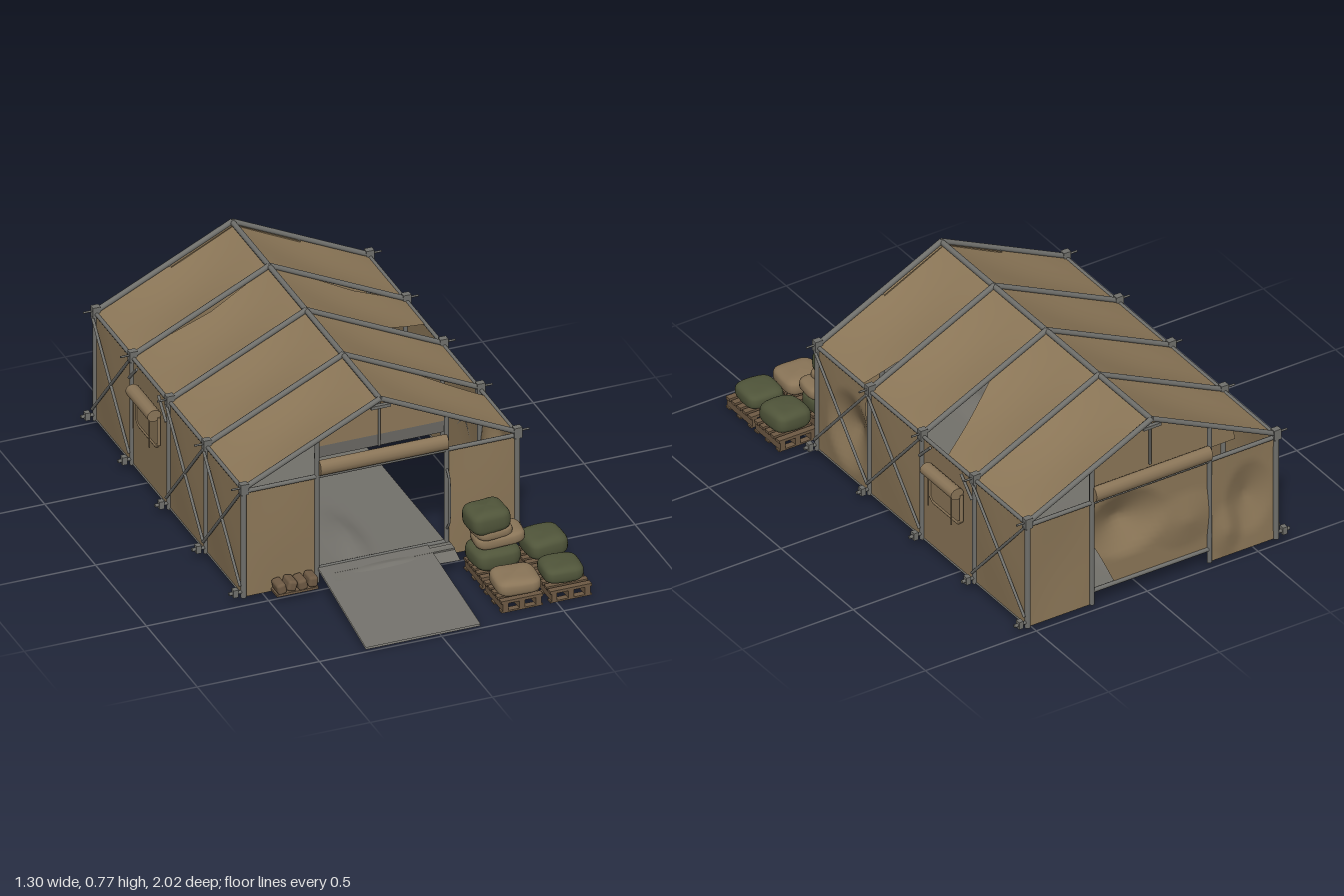
import * as THREE from 'three';
import { RoundedBoxGeometry } from 'three/addons/geometries/RoundedBoxGeometry.js';

const mat = (name, color, side = THREE.FrontSide) => {
  const m = new THREE.MeshStandardMaterial({ color, side });
  m.name = name;
  return m;
};
const V = (x, y, z) => new THREE.Vector3(x, y, z);

export function createModel() {
  const canvas = mat('canvas', 0x8c7758, THREE.DoubleSide);
  const metal = mat('metal', 0x70706c);
  const floorGrey = mat('floorGrey', 0x73716b, THREE.DoubleSide);
  const green = mat('greenSack', 0x50553a);
  const tan = mat('tanSack', 0x8a7558);
  const wood = mat('wood', 0x6e5a44);

  const root = new THREE.Group();
  root.name = 'frameTent';
  const add = (name, geo, m, parent = root) => {
    const mesh = new THREE.Mesh(geo, m);
    mesh.name = name;
    parent.add(mesh);
    return mesh;
  };
  const box = (name, x0, x1, y0, y1, z0, z1, m, parent) => {
    const mesh = add(name, new THREE.BoxGeometry(x1 - x0, y1 - y0, z1 - z0), m, parent);
    mesh.position.set((x0 + x1) / 2, (y0 + y1) / 2, (z0 + z1) / 2);
    return mesh;
  };
  // Straight tube between two points
  const rod = (name, a, b, r = 0.011, m = metal, sides = 8) => {
    const d = b.clone().sub(a);
    const mesh = add(name, new THREE.CylinderGeometry(r, r, d.length(), sides), m);
    mesh.position.copy(a).addScaledVector(d, 0.5);
    mesh.quaternion.setFromUnitVectors(V(0, 1, 0), d.normalize());
    return mesh;
  };
  // Cloth panel: a-b is the edge v=0, d-c the edge v=1; it may bulge, be dented or have cut sides
  const panel = (name, a, b, c, d, { bulge = 0, dents = [], start = () => 0, end = () => 1, m = canvas } = {}) => {
    const n = b.clone().sub(a).cross(d.clone().sub(a)).normalize();
    const N = 20;
    const geo = new THREE.PlaneGeometry(1, 1, N, N);
    const pos = geo.attributes.position;
    for (let i = 0; i < pos.count; i++) {
      const v = pos.getY(i) + 0.5;
      const s = start(v);
      const u = s + (end(v) - s) * (pos.getX(i) + 0.5);
      let off = bulge * Math.sin(Math.PI * u) * Math.sin(Math.PI * v);
      for (const [du, dv, r, depth] of dents) off += depth * Math.max(0, 1 - Math.hypot(u - du, v - dv) / r);
      const p = a.clone().lerp(b, u).lerp(d.clone().lerp(c, u), v).addScaledVector(n, off);
      pos.setXYZ(i, p.x, p.y, p.z);
    }
    geo.computeVertexNormals();
    return add(name, geo, m);
  };

  // Main dimensions
  const L = -0.59, R = 0.53, MID = -0.03, EAVE = 0.485, RIDGE = 0.758, BASE = 0.02;
  const DL = -0.29, DR = 0.24, FRONT = 0.47, BACK = -0.985;
  const frames = [0, 1, 2, 3, 4].map(i => FRONT + (BACK - FRONT) * i / 4);
  const roofY = x => RIDGE - (Math.abs(x - MID) / 0.56) * (RIDGE - EAVE);

  // Frames: posts, feet, rafters, eave stubs
  frames.forEach(z => {
    for (const [x, s] of [[L, -1], [R, 1]]) {
      rod('post', V(x, BASE, z), V(x, 0.515, z), 0.012);
      rod('rafter', V(x, EAVE + 0.008, z), V(MID, RIDGE + 0.004, z), 0.011);
      rod('footPeg', V(x, 0.045, z), V(x + s * 0.06, 0.045, z), 0.007);
      box('footPlate', x + s * 0.035 - 0.01, x + s * 0.035 + 0.01, 0.03, 0.062, z - 0.012, z + 0.012, metal);
      box('eaveBracket', x - 0.016, x + 0.016, 0.47, 0.515, z - 0.013, z + 0.013, metal);
      rod('eaveStub', V(x, 0.497, z), V(x + s * 0.05, 0.497, z), 0.004);
    }
    box('ridgeBracket', MID - 0.04, MID + 0.04, 0.722, 0.735, z - 0.008, z + 0.008, metal);
  });
  rod('ridgePole', V(MID, RIDGE, FRONT), V(MID, RIDGE, BACK), 0.011);
  for (const x of [L, R]) {
    rod('eavePole', V(x, EAVE, FRONT), V(x, EAVE, BACK), 0.008);
    rod('baseRail', V(x, BASE + 0.004, FRONT), V(x, BASE + 0.004, BACK), 0.004);
  }

  // Side walls and roof, bay by bay
  const rightRoof = [
    { end: v => 1 - 0.15 * Math.max(0, (v - 0.5) / 0.5) }, {},
    { start: v => 0.47 * Math.max(0, (v - 0.45) / 0.55), end: v => 1 - 0.06 * Math.max(0, 1 - Math.abs(v - 0.6) / 0.35) }, {}];
  const leftRoof = [{}, {}, { end: v => 1 - 0.07 * Math.max(0, 1 - Math.abs(v - 0.45) / 0.4) }, {}];
  for (let i = 0; i < 4; i++) {
    const z0 = frames[i], z1 = frames[i + 1], zm = (z0 + z1) / 2;
    for (const [x, s] of [[L, -1], [R, 1]]) {
      panel('roofPanel', V(MID, RIDGE - 0.004, z0), V(MID, RIDGE - 0.004, z1), V(x, EAVE, z1), V(x, EAVE, z0),
        { bulge: s * 0.018, ...(s > 0 ? rightRoof : leftRoof)[i] });
      const torn = i === 0 && s > 0;
      panel('sideWall', V(x, BASE, z0), V(x, BASE, z1), V(x, EAVE, z1), V(x, EAVE, z0), {
        bulge: i === 2 ? 0 : s * 0.01,
        dents: torn ? [[0.62, 0.45, 0.38, -0.07]] : [],
        end: torn ? v => 1 - 0.08 * Math.max(0, 1 - Math.abs(v - 0.8) / 0.35) : () => 1,
      });
      const bx = x + s * 0.014;
      if (i !== 2) {
        rod('crossBrace', V(bx, 0.07, z0), V(bx, 0.475, z1), 0.006);
        rod('crossBrace', V(bx, 0.475, z0), V(bx, 0.07, z1), 0.006);
      } else {
        for (const [za, d] of [[z0, -1], [z1, 1]])
          rod('cornerBrace', V(bx, 0.40, za), V(bx, 0.475, za + d * 0.075), 0.006);
        // Window with rolled cover
        const w = x + s * 0.012;
        box('windowPane', w - 0.004, w + 0.004, 0.25, 0.38, zm - 0.1, zm + 0.1, canvas);
        const corners = [V(w, 0.38, zm - 0.105), V(w, 0.26, zm - 0.105), V(w, 0.243, zm - 0.085),
          V(w, 0.243, zm + 0.085), V(w, 0.26, zm + 0.105), V(w, 0.38, zm + 0.105)];
        for (let k = 0; k < 5; k++) rod('windowTrim', corners[k], corners[k + 1], 0.008, tan);
        const roll = rod('windowRoll', V(x + s * 0.032, 0.39, zm - 0.108), V(x + s * 0.032, 0.39, zm + 0.108), 0.026, tan, 12);
        roll.scale.set(1.1, 1, 0.95);
        for (const dz of [-0.08, 0.08])
          rod('windowStrap', V(x + s * 0.04, 0.24, zm + dz), V(x + s * 0.04, 0.38, zm + dz), 0.003, tan);
      }
    }
  }

  // End walls: cloth beside the doorway, door poles, cross beam, gable cloth
  for (const [z, s] of [[FRONT, 1], [BACK, -1]]) {
    const back = s < 0;
    panel('endWallLeft', V(L, BASE, z), V(DL, BASE, z), V(DL, 0.48, z), V(L, 0.48, z),
      { bulge: 0.006, dents: back ? [[0.4, 0.5, 0.35, 0.035], [0.75, 0.25, 0.25, -0.02]] : [] });
    panel('endWallRight', V(DR, BASE, z), V(R, BASE, z), V(R, 0.48, z), V(DR, 0.48, z), { bulge: 0.006 });
    for (const x of [DL, DR]) rod('doorPole', V(x, BASE, z), V(x, roofY(x), z), 0.01);
    rod('kingPost', V(MID, 0.55, z - s * 0.012), V(MID, RIDGE, z - s * 0.012), 0.005);
    rod('crossBeam', V(L, 0.48, z), V(R, 0.48, z), 0.009);
    rod('doorSill', V(DL, 0.08, z), V(DR, 0.08, z), 0.009);
    const low = back ? 0.48 : 0.595;
    const gable = new THREE.Shape([[DL, low], [DR, low], [DR, roofY(DR)], [MID, RIDGE], [DL, roofY(DL)]]
      .map(p => new THREE.Vector2(...p)));
    add('gableCloth', new THREE.ShapeGeometry(gable), canvas).position.z = z - s * 0.02;
    const roll = rod('doorRoll', V(DL + 0.005, 0.518, z + s * 0.008), V(DR - 0.002, 0.518, z + s * 0.008), 0.032, tan, 14);
    roll.scale.z = 0.75;
  }
  panel('gableVent', V(DL, 0.54, 0.44), V(DR, 0.54, 0.44), V(DR, 0.597, 0.45), V(DL, 0.597, 0.45), { m: floorGrey });
  panel('backGableCorner', V(-0.42, 0.52, BACK + 0.02), V(DL, 0.52, BACK + 0.02), V(DL, 0.625, BACK + 0.02), V(-0.41, 0.56, BACK + 0.02));
  panel('backDoorCloth', V(DL, 0.085, BACK), V(DR, 0.085, BACK), V(DR, 0.5, BACK), V(DL, 0.5, BACK), {
    end: v => 1 - 0.19 * Math.max(0, 1 - v / 0.52),
    dents: [[0.72, 0.6, 0.35, 0.07], [0.2, 0.4, 0.3, -0.02]],
  });
  const strap = new THREE.CatmullRomCurve3([V(DR, 0.4, 0.475), V(DR, 0.37, 0.497), V(DR, 0.17, 0.497), V(DR, 0.14, 0.475)]);
  add('doorStrap', new THREE.TubeGeometry(strap, 16, 0.005, 6), metal);

  // Floor strip, threshold and ramp
  panel('floor', V(DL, 0.075, FRONT), V(DR, 0.075, FRONT), V(DR, 0.075, BACK), V(DL, 0.075, BACK),
    { m: floorGrey, dents: [[0.35, 0.12, 0.16, 0.04], [0.6, 0.82, 0.16, 0.04]] });
  box('threshold', -0.26, 0.25, 0.055, 0.08, 0.47, 0.53, floorGrey);
  panel('thresholdFlap', V(-0.26, 0.083, 0.5), V(0.25, 0.083, 0.5), V(0.25, 0.055, 0.585), V(-0.26, 0.075, 0.585),
    { m: floorGrey, dents: [[0.5, 0.5, 0.35, -0.012]] });
  const rampTop = [V(-0.29, 0.086, 0.48), V(0.16, 0.086, 0.48), V(0.16, 0.018, 1.0), V(-0.31, 0.018, 1.0)];
  panel('rampTop', ...rampTop, { m: floorGrey });
  panel('rampUnderside', ...rampTop.map(p => p.clone().setY(p.y - 0.008)), { m: floorGrey });

  // Small bundles by the doorway
  for (let i = 0; i < 4; i++) {
    const b = add('bundle', new RoundedBoxGeometry(0.038, 0.045, 0.07, 2, 0.012), wood);
    b.position.set(-0.46 + i * 0.043, 0.06 + (i % 2) * 0.004, 0.508);
    b.rotation.z = [0.2, -0.25, 0.15, -0.1][i];
  }
  box('bundleRack', -0.48, -0.31, 0.028, 0.038, 0.475, 0.535, wood);

  // Pallets with skids and slats
  const pallet = (x, z) => {
    const g = new THREE.Group();
    g.name = 'pallet';
    g.position.set(x, 0, z);
    root.add(g);
    for (const dx of [-0.068, 0, 0.068]) box('skid', dx - 0.011, dx + 0.011, 0.005, 0.038, -0.088, 0.088, wood, g);
    for (let k = 0; k < 5; k++) {
      const dz = -0.075 + k * 0.0375;
      box('slat', -0.085, 0.085, 0.038, 0.05, dz - 0.013, dz + 0.013, wood, g);
      if (k % 2 === 0) box('bottomSlat', -0.085, 0.085, 0, 0.007, dz - 0.013, dz + 0.013, wood, g);
    }
  };
  for (const x of [0.36, 0.56]) for (const z of [0.645, 0.84]) pallet(x, z);

  // Sacks: squared-off pillows with a slight slump
  const sack = (m, x, y, z, w, h, d, turn = 0, tilt = 0) => {
    const geo = new THREE.SphereGeometry(1, 24, 14);
    const pos = geo.attributes.position;
    const sq = (t, e) => Math.sign(t) * Math.pow(Math.abs(t), e);
    for (let i = 0; i < pos.count; i++) {
      const px = sq(pos.getX(i), 0.5), py = sq(pos.getY(i), 0.65), pz = sq(pos.getZ(i), 0.5);
      const k = 1 + 0.05 * Math.sin(px * 4 + pz * 3 + x * 20);
      pos.setXYZ(i, px * w / 2, py * h / 2 * k, pz * d / 2);
    }
    geo.computeVertexNormals();
    const s = add('sack', geo, m);
    s.position.set(x, y, z);
    s.rotation.set(0, turn, tilt);
  };
  sack(green, 0.36, 0.098, 0.64, 0.19, 0.09, 0.17, 0.05);
  sack(tan, 0.38, 0.168, 0.635, 0.2, 0.06, 0.14, -0.1, 0.08);
  sack(tan, 0.35, 0.205, 0.64, 0.15, 0.05, 0.13, 0.1);
  sack(green, 0.335, 0.255, 0.635, 0.165, 0.1, 0.15, 0.05, 0.04);
  sack(tan, 0.365, 0.085, 0.845, 0.18, 0.07, 0.17, -0.08);
  sack(green, 0.565, 0.1, 0.64, 0.165, 0.09, 0.165, 0.06, 0.05);
  sack(green, 0.555, 0.088, 0.835, 0.16, 0.07, 0.155, -0.06);

  return root;
}
